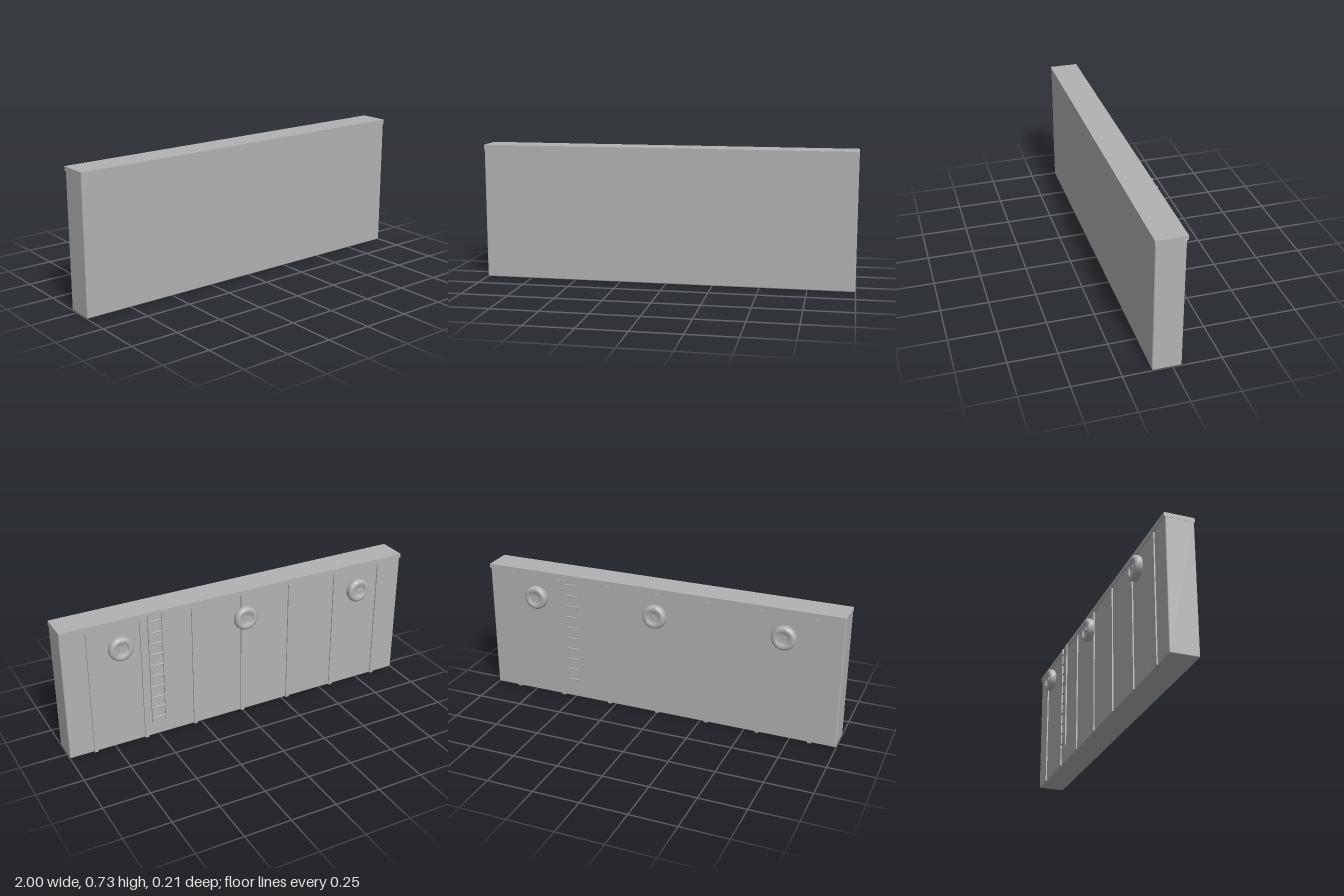
import * as THREE from 'three';
import { RoundedBoxGeometry } from 'three/addons/geometries/RoundedBoxGeometry.js';
import { toCreasedNormals } from 'three/addons/utils/BufferGeometryUtils.js';

export function createModel() {
  const group = new THREE.Group();
  group.name = 'quayWall';
  const concrete = new THREE.MeshStandardMaterial({ color: 0xb2b2b2 });
  concrete.name = 'grey';

  const add = (name, geometry, x, y, z, parent = group) => {
    const mesh = new THREE.Mesh(geometry, concrete);
    mesh.name = name;
    mesh.position.set(x, y, z);
    parent.add(mesh);
    return mesh;
  };

  // Wall block with softened edges, and the coping slab on top
  add('wall', new RoundedBoxGeometry(1.998, 0.72, 0.149, 2, 0.006), 0, 0.36, 0.0285);
  add('coping', new THREE.BoxGeometry(2, 0.023, 0.158), 0, 0.7185, 0.026);

  // Vertical ribs on the back
  const ribGeometry = new THREE.BoxGeometry(0.02, 0.7, 0.01);
  for (let i = -3; i <= 3; i++) add('rib', ribGeometry, i * 2 / 7, 0.35, -0.048);

  // Ladder
  const ladder = new THREE.Group();
  ladder.name = 'ladder';
  group.add(ladder);
  for (const x of [0.46, 0.536]) {
    add('ladderRail', new THREE.BoxGeometry(0.01, 0.635, 0.008), x, 0.4045, -0.057, ladder);
  }
  const rungGeometry = new THREE.CylinderGeometry(0.004, 0.004, 0.07, 8).rotateZ(Math.PI / 2);
  for (let i = 0; i < 10; i++) add('ladderRung', rungGeometry, 0.498, 0.112 + i * 0.063, -0.057, ladder);

  // Tyre fenders: rounded tread, dished side walls and a hub
  const h = 0.022;
  const half = [[0.034, 0.014], [0.036, 0.019], [0.041, h], [0.05, h], [0.057, 0.02], [0.062, 0.015], [0.0645, 0.008]];
  const profile = [
    [0, -0.014], ...half.map(([r, y]) => [r, -y]), [0.065, 0],
    ...half.slice().reverse(), [0, 0.014],
  ].map(([r, y]) => new THREE.Vector2(r, y));
  const tyreGeometry = toCreasedNormals(new THREE.LatheGeometry(profile, 40).rotateX(-Math.PI / 2), 0.6);
  const hubGeometry = new THREE.CylinderGeometry(0.014, 0.014, 0.042, 24).rotateX(Math.PI / 2);
  for (const x of [-0.7, 0, 0.7]) {
    const fender = new THREE.Group();
    fender.name = 'fender';
    fender.position.set(x, 0.587, -0.082);
    group.add(fender);
    add('tyre', tyreGeometry, 0, 0, 0, fender);
    add('hub', hubGeometry, 0, 0, 0.003, fender);
  }
  return group;
}
